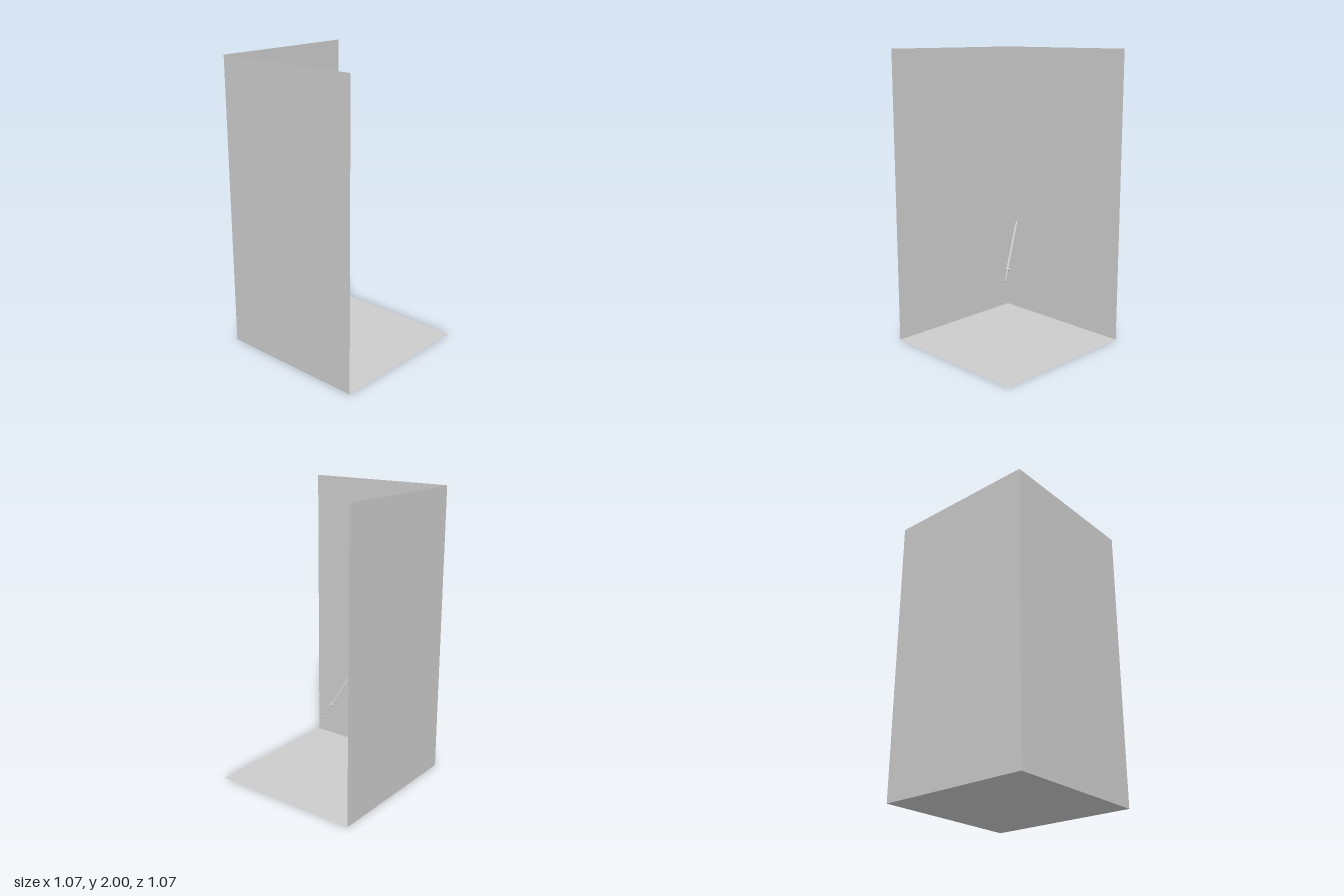
import * as THREE from 'three';

export function createModel() {
  const model = new THREE.Group();
  const grey = new THREE.MeshStandardMaterial({ color: 0xcccccc, side: THREE.DoubleSide });
  grey.name = 'plain grey';

  const add = (parent, name, geometry, x = 0, y = 0, z = 0) => {
    const mesh = new THREE.Mesh(geometry, grey);
    mesh.name = name;
    mesh.position.set(x, y, z);
    parent.add(mesh);
    return mesh;
  };

  // Room corner: floor and two thin walls
  const width = 1.066, height = 2, half = width / 2;
  add(model, 'floor', new THREE.PlaneGeometry(width, width).rotateX(-Math.PI / 2));
  add(model, 'backWall', new THREE.PlaneGeometry(width, height), 0, height / 2, -half);
  add(model, 'sideWall', new THREE.PlaneGeometry(width, height).rotateY(Math.PI / 2), -half, height / 2, 0);

  // Sword, built upright along y with the guard at its origin
  const sword = new THREE.Group();
  sword.name = 'sword';
  model.add(sword);
  const facets = (top, bottom, length, sides) =>
    new THREE.CylinderGeometry(top, bottom, length, sides).toNonIndexed();
  const parts = [
    ['blade', facets(0.008, 0.01, 0.335, 4).scale(1, 1, 0.6), 0.1675],
    ['bladeTip', facets(0, 0.008, 0.02, 4).scale(1, 1, 0.6), 0.345],
    ['guard', facets(0.018, 0.018, 0.014, 8).scale(1, 1, 0.7), 0],
    ['grip', facets(0.005, 0.005, 0.08, 8), -0.042],
    ['pommel', new THREE.SphereGeometry(0.008, 8, 6).toNonIndexed(), -0.082],
  ];
  for (const [name, geometry, y] of parts) {
    geometry.computeVertexNormals();
    add(sword, name, geometry, 0, y, 0);
  }

  // Lean the sword from its pommel towards its tip
  const lean = new THREE.Vector3(-0.09, 0.39, -0.21).normalize();
  sword.quaternion.setFromUnitVectors(new THREE.Vector3(0, 1, 0), lean);
  sword.rotateY(Math.PI / 2 - 0.4);
  sword.position.set(0, 0.515, 0.003);

  return model;
}
